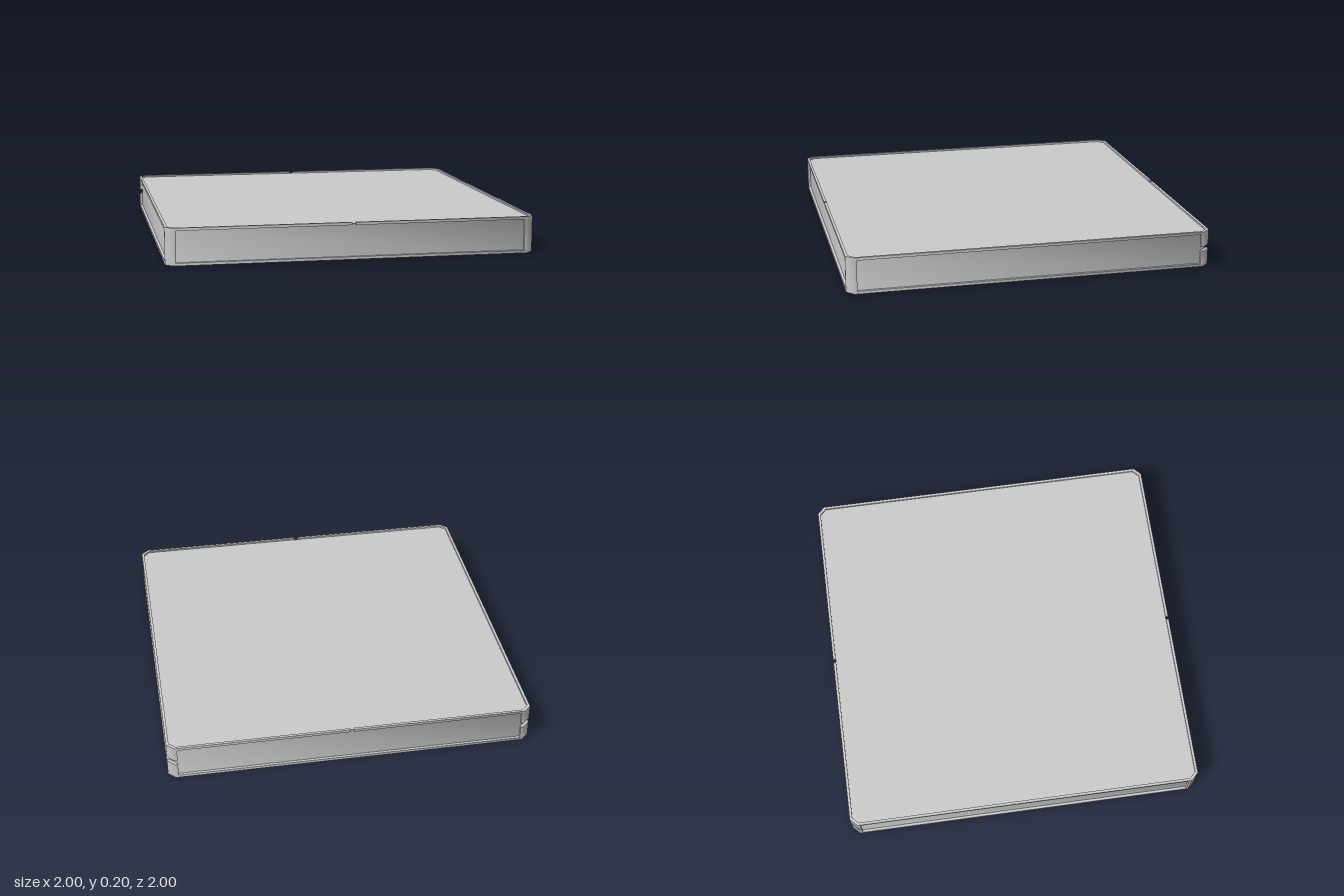
import * as THREE from 'three';
import { toCreasedNormals } from 'three/addons/utils/BufferGeometryUtils.js';

const H = 0.2;       // overall height
const RIM = 0.015;   // thickness of the rails
const material = new THREE.MeshStandardMaterial({ color: 0xcccccc });

// Vertical prism from a plan outline of [x, z] points
function prism(name, points, y0, y1) {
  const shape = new THREE.Shape(points.map(([x, z]) => new THREE.Vector2(x, -z)));
  const geometry = new THREE.ExtrudeGeometry(shape, { depth: y1 - y0, bevelEnabled: false });
  geometry.rotateX(-Math.PI / 2).translate(0, y0, 0);
  const mesh = new THREE.Mesh(toCreasedNormals(geometry, 0.9), material);
  mesh.name = name;
  return mesh;
}

// Square with cut corners
function cutSquare(r, cut) {
  const c = r - cut;
  return [[r, -c], [r, c], [c, r], [-c, r], [-r, c], [-r, -c], [-c, -r], [c, -r]];
}

export function createModel() {
  const model = new THREE.Group();
  model.name = 'flatCase';
  const inner = 1 - RIM;

  // Recessed slab that shows as the top, bottom and side panels
  model.add(prism('panelCore', cutSquare(inner, 0.034), 0.01, H - 0.01));

  // Half of a rim; the halves meet, or leave a gap, at the middle of front and back
  const halfRim = (side, gap) => [
    [gap, 1], [0.96, 1], [1, 0.96], [1, -0.96], [0.96, -1], [gap, -1],
    [gap, -inner], [0.951, -inner], [inner, -0.951], [inner, 0.951], [0.951, inner], [gap, inner],
  ].map(([x, z]) => [x * side, z]);
  for (const side of [1, -1]) {
    const label = side > 0 ? 'left' : 'right';
    model.add(prism(label + 'TopRail', halfRim(side, 0.01), H - RIM, H));
    model.add(prism(label + 'BottomRail', halfRim(side, 0), 0, RIM));
  }

  // Corner posts wrapping the cut corners; the back ones are split at mid height
  for (const sx of [1, -1]) {
    for (const sz of [1, -1]) {
      const plan = [
        [0.945, 1], [0.96, 1], [1, 0.96], [1, 0.945],
        [inner, 0.945], [inner, 0.951], [0.951, inner], [0.945, inner],
      ].map(([x, z]) => [x * sx, z * sz]);
      const name = (sz > 0 ? 'front' : 'back') + (sx > 0 ? 'Left' : 'Right') + 'Post';
      const spans = sz > 0 ? [[RIM, H - RIM]] : [[RIM, 0.09], [0.115, H - RIM]];
      const post = new THREE.Group();
      post.name = name;
      spans.forEach(([y0, y1], i) => post.add(prism(name + 'Part' + (i + 1), plan, y0, y1)));
      model.add(post);
    }
  }
  return model;
}
